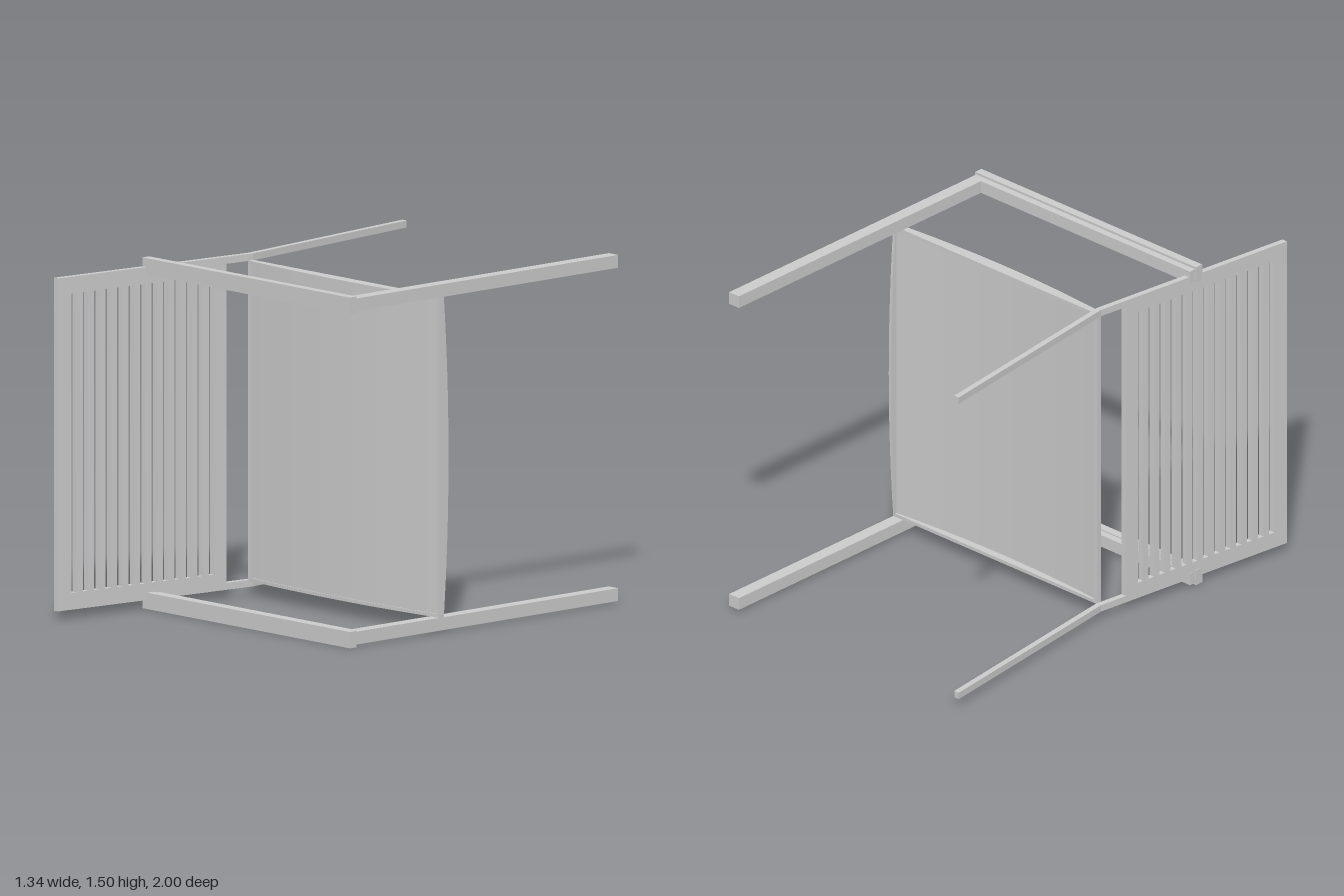
import * as THREE from 'three';

const material = new THREE.MeshStandardMaterial({ color: 0xcccccc, flatShading: true });
const HEIGHT = 1.5; // distance between the outer faces of the two arms
const LEAN = 0.127; // sideways slope of the backrest and rear legs

function add(group, name, geometry) {
  const mesh = new THREE.Mesh(geometry, material);
  mesh.name = name;
  group.add(mesh);
}

// Box given by its limits on each axis
function boxBetween(x0, x1, y0, y1, z0, z1) {
  return new THREE.BoxGeometry(x1 - x0, y1 - y0, z1 - z0)
    .translate((x0 + x1) / 2, (y0 + y1) / 2, (z0 + z1) / 2);
}

const toShape = (points) => new THREE.Shape(points.map(([a, b]) => new THREE.Vector2(a, b)));

// Extrudes an (x, z) outline along y
function extrudeY(points, y0, y1) {
  return new THREE.ExtrudeGeometry(toShape(points), { depth: y1 - y0, bevelEnabled: false })
    .rotateX(Math.PI / 2).translate(0, y1, 0);
}

// Extrudes a (z, y) shape along x
function extrudeX(shape, x0, x1) {
  return new THREE.ExtrudeGeometry(shape, { depth: x1 - x0, bevelEnabled: false })
    .rotateY(-Math.PI / 2).translate(x1, 0, 0);
}

// Crown of the seat
const crown = (x) => 0.054 - 0.029 * ((x - 0.07) / 0.59) ** 2;

// Seat cross-section: crowned top, with the underside given by a function
function seatSection(x0, x1, topDrop, underside) {
  const top = [], bottom = [];
  const n = 18;
  for (let i = 0; i <= n; i++) {
    const x = x0 + (x1 - x0) * i / n;
    top.push([x, crown(x) - topDrop]);
    bottom.push([x, underside(x)]);
  }
  return [...bottom, ...top.reverse()];
}

export function createModel() {
  const chair = new THREE.Group();
  chair.name = 'chair';

  // Both side frames: front leg, arm and bent rear post
  for (const [side, flip] of [['lower', false], ['upper', true]]) {
    const frame = new THREE.Group();
    frame.name = side + 'SideFrame';
    const span = (a, b) => (flip ? [HEIGHT - b, HEIGHT - a] : [a, b]);
    add(frame, 'frontLeg', boxBetween(0.605, 0.662, ...span(0.01, 0.065), -1, 0.507));
    add(frame, 'armRail', boxBetween(-0.61, 0.605, ...span(0.01, 0.065), 0.475, 0.507));
    add(frame, 'armCap', boxBetween(-0.615, 0.669, ...span(0, 0.07), 0.507, 0.545));
    const post = [
      [-0.52 - LEAN, -1], [-0.52, 0], [-0.52 - 0.2 * LEAN, 0.2],
      [-0.546 - 0.2 * LEAN, 0.2], [-0.546, 0], [-0.546 - LEAN, -1],
    ];
    add(frame, 'rearPost', extrudeY(post, ...span(0.038, 0.068)));
    add(frame, 'seatSideRail', extrudeY(seatSection(-0.52, 0.66, 0, () => 0), ...span(0.065, 0.08)));
    chair.add(frame);
  }

  // Slotted backrest, sheared to follow the rear posts
  const back = toShape([[0.135, 0.038], [1, 0.038], [1, 1.462], [0.135, 1.462]]);
  for (let i = 0; i < 13; i++) {
    const z = 0.198 + i * 0.0588;
    back.holes.push(toShape([[z, 0.11], [z, 1.39], [z + 0.028, 1.39], [z + 0.028, 0.11]]));
  }
  const backGeometry = extrudeX(back, -0.546, -0.52);
  const position = backGeometry.attributes.position;
  for (let i = 0; i < position.count; i++) {
    position.setX(i, position.getX(i) - LEAN * position.getZ(i));
  }
  backGeometry.computeVertexNormals();
  add(chair, 'backrest', backGeometry);

  // Crowned seat panel, set slightly below its rim
  add(chair, 'seatPanel', extrudeY(
    seatSection(-0.51, 0.655, 0.005, (x) => crown(x) - 0.018), 0.078, HEIGHT - 0.078));
  add(chair, 'seatBackRail', boxBetween(-0.522, -0.503, 0.07, 1.43, 0, 0.026));

  // Front rail with a bowed lower edge
  const apron = new THREE.Shape();
  apron.moveTo(0.026, 0.065);
  apron.lineTo(0.026, 1.435);
  apron.lineTo(0, 1.435);
  apron.quadraticCurveTo(-0.054, 0.75, 0, 0.065);
  apron.closePath();
  add(chair, 'seatFrontRail', extrudeX(apron, 0.65, 0.662));

  return chair;
}
